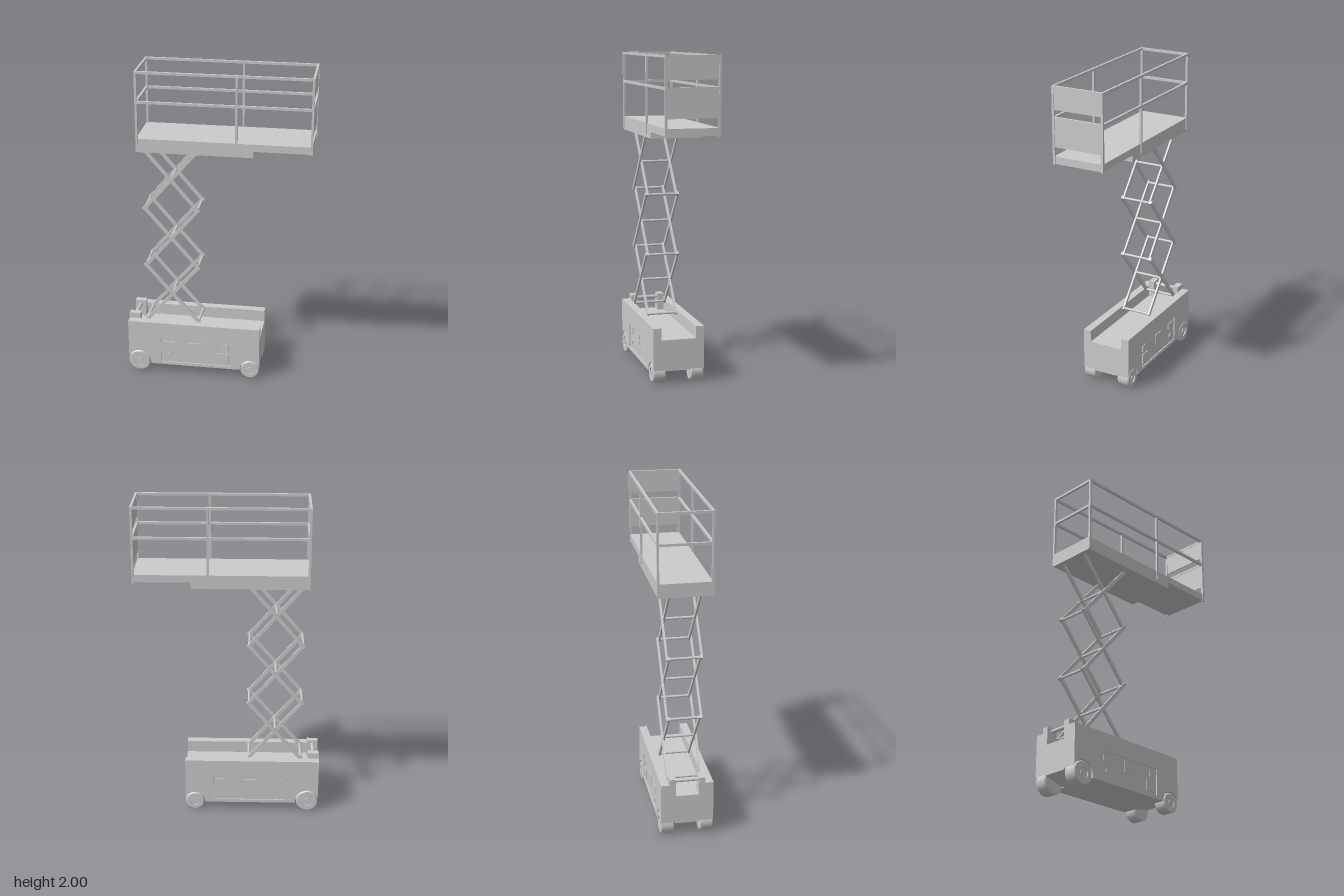
import * as THREE from 'three';

const grey = new THREE.MeshStandardMaterial({ color: 0xcccccc, flatShading: true });
const smooth = new THREE.MeshStandardMaterial({ color: 0xcccccc });

function add(parent, name, geometry, x = 0, y = 0, z = 0, material = grey) {
  const mesh = new THREE.Mesh(geometry, material);
  mesh.name = name;
  mesh.position.set(x, y, z);
  parent.add(mesh);
  return mesh;
}

// Box given by its limits on each axis
function span(parent, name, x0, x1, y0, y1, z0, z1) {
  return add(parent, name, new THREE.BoxGeometry(x1 - x0, y1 - y0, z1 - z0),
    (x0 + x1) / 2, (y0 + y1) / 2, (z0 + z1) / 2);
}

// Round bar running across the machine
function crossBar(parent, name, x, y, halfWidth, radius) {
  const bar = add(parent, name, new THREE.CylinderGeometry(radius, radius, halfWidth * 2, 12), x, y, 0, smooth);
  bar.rotation.x = Math.PI / 2;
}

const X0 = -0.575, X1 = 0.27, BOTTOM = 0.055;
const rear = { x: -0.505, y: 0.07, r: 0.07, arch: 0.075 };
const front = { x: 0.21, y: 0.06, r: 0.06, arch: 0.065 };

// Side profile of the chassis with wheel arches cut out of its lower edge
function archProfile(top) {
  const s = new THREE.Shape();
  const angle = (w, x, y) => Math.atan2(y - w.y, x - w.x);
  const edgeY = (w, x) => w.y + Math.sqrt(w.arch ** 2 - (x - w.x) ** 2);
  const edgeX = (w, side) => w.x + side * Math.sqrt(w.arch ** 2 - (BOTTOM - w.y) ** 2);
  const ry = edgeY(rear, X0), rx = edgeX(rear, 1);
  const fy = edgeY(front, X1), fx = edgeX(front, -1);
  s.moveTo(X0, top);
  s.lineTo(X0, ry);
  s.absarc(rear.x, rear.y, rear.arch, angle(rear, X0, ry), angle(rear, rx, BOTTOM), true);
  s.lineTo(fx, BOTTOM);
  s.absarc(front.x, front.y, front.arch, angle(front, fx, BOTTOM) + 2 * Math.PI, angle(front, X1, fy), true);
  s.lineTo(X1, top);
  s.closePath();
  return s;
}

function rectPath(x0, x1, y0, y1) {
  return new THREE.Path([[x0, y0], [x0, y1], [x1, y1], [x1, y0]].map(p => new THREE.Vector2(...p)));
}

function extrude(shape, depth) {
  return new THREE.ExtrudeGeometry(shape, { depth, bevelEnabled: false, curveSegments: 20 });
}

function buildChassis() {
  const g = new THREE.Group();
  g.name = 'chassis';

  // Central hull, its underside rising at both ends
  const core = new THREE.Shape([[X0, 0.275], [X0, 0.09], [-0.44, BOTTOM], [0.14, BOTTOM], [X1, 0.08], [X1, 0.275]]
    .map(p => new THREE.Vector2(...p)));
  add(g, 'hull', extrude(core, 0.15), 0, 0, -0.075);

  // Side layers: inner well, raised wall, outer skin with a panel recess
  const skin = archProfile(0.35);
  skin.holes.push(rectPath(-0.365, 0.09, 0.075, 0.24));
  const layers = [
    ['channelFloor', archProfile(0.275), 0.075, 0.11],
    ['sideWall', archProfile(0.35), 0.11, 0.153],
    ['sideSkin', skin, 0.153, 0.16],
  ];
  for (const side of [1, -1]) {
    for (const [name, shape, z0, z1] of layers) {
      add(g, name, extrude(shape, z1 - z0), 0, 0, side > 0 ? z0 : -z1);
    }
    // Hatches and knob inside the recess
    const hatches = [[-0.345, -0.28, 0.18, 0.22], [-0.18, -0.1, 0.155, 0.22],
      [0.03, 0.075, 0.18, 0.22], [0.005, 0.075, 0.09, 0.16]];
    for (const [x0, x1, y0, y1] of hatches) {
      const hatch = span(g, 'hatch', x0, x1, y0, y1, 0.15, 0.158);
      hatch.position.z *= side;
    }
    const knob = add(g, 'knob', new THREE.CylinderGeometry(0.016, 0.016, 0.008, 20), -0.31, 0.125, side * 0.154);
    knob.rotation.x = Math.PI / 2;

    // Upright block at the rear end of the channel
    const block = span(g, 'endBlock', X0, -0.505, 0.275, 0.385, 0.07, 0.11);
    block.position.z *= side;
  }
  crossBar(g, 'endBar', -0.54, 0.362, 0.08, 0.011);
  return g;
}

// Tyre turned from a profile, with a stepped hub on the outer face
function buildWheel({ x, y, r }, side, name) {
  const profile = [[0, -0.04], [r - 0.006, -0.04], [r, -0.034], [r, 0.034], [r - 0.006, 0.04],
    [r * 0.5, 0.04], [r * 0.5, 0.034], [r * 0.25, 0.034], [r * 0.25, 0.039], [0, 0.039]]
    .map(p => new THREE.Vector2(...p));
  const wheel = new THREE.Mesh(new THREE.LatheGeometry(profile, 36), grey);
  wheel.name = name;
  wheel.position.set(x, y, side * 0.12);
  wheel.rotation.x = side * Math.PI / 2;
  return wheel;
}

function buildScissor() {
  const g = new THREE.Group();
  g.name = 'scissorLift';
  const xa = -0.46, xb = -0.13, y0 = 0.345, step = 0.385, xm = (xa + xb) / 2;
  const length = Math.hypot(xb - xa, step) + 0.02;
  const tilt = Math.atan2(step, xb - xa);
  for (let i = 0; i < 3; i++) {
    const ym = y0 + step * (i + 0.5);
    for (const side of [1, -1]) {
      // Crossing arms lie in two neighbouring layers
      for (const [dir, z] of [[1, 0.104], [-1, 0.093]]) {
        const arm = add(g, 'scissorArm', new THREE.BoxGeometry(length, 0.022, 0.011), xm, ym, side * z);
        arm.rotation.z = dir * tilt;
      }
    }
    crossBar(g, 'middlePivot', xm, ym, 0.1, 0.008);
    for (const x of [xa, xb]) crossBar(g, 'endPivot', x, y0 + step * i, 0.1, 0.008);
  }
  return g;
}

function buildPlatform() {
  const g = new THREE.Group();
  g.name = 'platform';
  const x0 = -0.49, x1 = 0.57, w = 0.166, t = 0.014;
  span(g, 'mainDeck', x0, 0.22, 1.5, 1.585, -0.16, 0.16);
  span(g, 'extensionDeck', 0.22, x1 - 0.004, 1.54, 1.585, -0.16, 0.16);

  // Guard rails and posts
  for (const side of [1, -1]) {
    for (const [x, bottom] of [[x0, 1.51], [0.11, 1.52], [x1 - t, 1.535]]) {
      const post = span(g, 'railPost', x, x + t, bottom, 1.995, w - t, w);
      post.position.z *= side;
    }
    for (const y of [1.985, 1.804]) {
      const rail = span(g, 'sideRail', x0, x1, y, y + 0.015, w - t, w);
      rail.position.z *= side;
    }
  }
  for (const x of [x0, x1 - t]) {
    for (const y of [1.985, 1.804]) span(g, 'endRail', x, x + t, y, y + 0.015, -w, w);
  }

  // Solid boards closing the extension end
  for (const [a, b] of [[1.64, 1.81], [1.86, 1.99]]) {
    span(g, 'endBoard', x1 - 0.011, x1 - 0.004, a, b, -w + t / 2, w - t / 2);
  }
  return g;
}

export function createModel() {
  const model = new THREE.Group();
  model.name = 'scissorLiftPlatform';
  model.add(buildChassis(), buildScissor(), buildPlatform());
  for (const side of [1, -1]) {
    model.add(buildWheel(rear, side, 'rearWheel'), buildWheel(front, side, 'frontWheel'));
  }
  return model;
}
